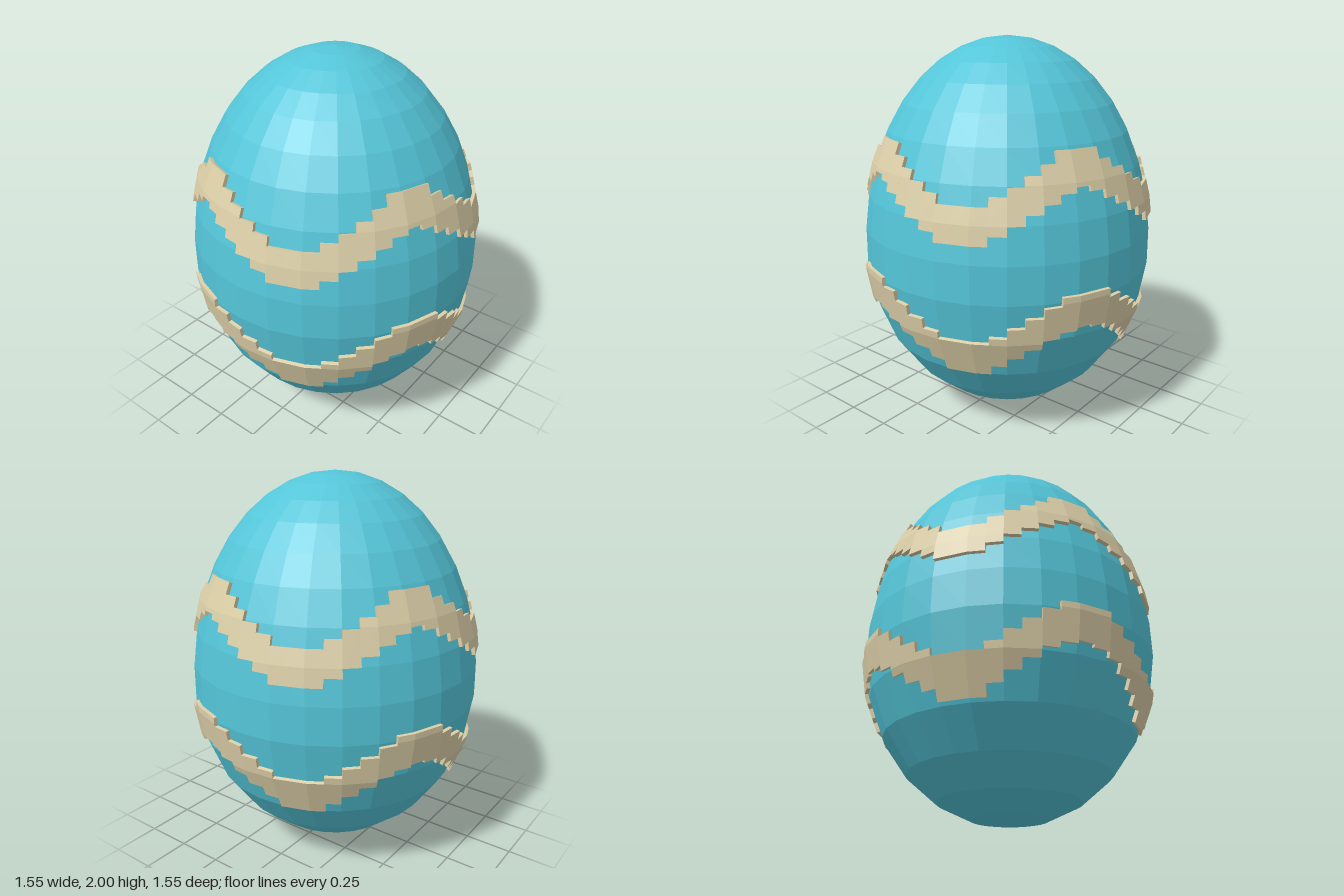
import * as THREE from 'three';

const COLUMNS = 28, CELLS = 56, WAVE = 14; // two band cells per shell column, four waves
const WIDEST = 0.9, RADIUS = 0.77;
const RINGS = [0, 0.03, 0.11, 0.24, 0.42, 0.63, 0.83, 1.02, 1.2, 1.37, 1.53, 1.67, 1.79, 1.88, 1.946, 1.986, 2];

// Half height of the egg on the side of the widest ring that y lies on
const halfHeight = (y) => (y < WIDEST ? WIDEST : 2 - WIDEST);
const ringRadius = (y) => RADIUS * Math.sqrt(Math.max(0, 1 - ((y - WIDEST) / halfHeight(y)) ** 2));

// Radius of the faceted profile at any height
function profileRadius(y) {
  const i = RINGS.findIndex((v, k) => k > 0 && y <= v);
  const a = RINGS[i - 1], b = RINGS[i];
  return THREE.MathUtils.lerp(ringRadius(a), ringRadius(b), (y - a) / (b - a));
}

// Point above the shell at a cell edge, pushed out along the profile normal
function shellPoint(edge, y, offset) {
  const r = profileRadius(y);
  const n = new THREE.Vector2(r / RADIUS ** 2, (y - WIDEST) / halfHeight(y) ** 2).normalize();
  const flat = edge % 2 ? Math.cos(Math.PI / COLUMNS) : 1; // odd edges lie mid-facet
  const radius = (r + n.x * offset) * flat;
  const angle = (edge / CELLS) * Math.PI * 2;
  return new THREE.Vector3(Math.sin(angle) * radius, y + n.y * offset, Math.cos(angle) * radius);
}

// Stepped zigzag band: one raised block per cell, following the shell facets
function makeBand(name, tops, bottoms, material) {
  const positions = [];
  const quad = (a, b, c, d) => [a, b, c, a, c, d].forEach((p) => positions.push(p.x, p.y, p.z));
  for (let i = 0; i < CELLS; i++) {
    const phase = (i + 4) % WAVE; // a crest sits in the fourth cell before the front
    const step = Math.min(phase, WAVE - phase);
    const y0 = bottoms[step], y1 = tops[step];
    const ys = [y0, ...RINGS.filter((y) => y > y0 + 0.002 && y < y1 - 0.002), y1];
    const [li, lo, ri, ro] = [[i, -0.004], [i, 0.019], [i + 1, -0.004], [i + 1, 0.019]]
      .map(([edge, offset]) => ys.map((y) => shellPoint(edge, y, offset)));
    const n = ys.length - 1;
    for (let k = 0; k < n; k++) {
      quad(lo[k], ro[k], ro[k + 1], lo[k + 1]); // outer face
      quad(li[k], lo[k], lo[k + 1], li[k + 1]); // side walls
      quad(ro[k], ri[k], ri[k + 1], ro[k + 1]);
    }
    quad(lo[n], ro[n], ri[n], li[n]); // top ledge
    quad(li[0], ri[0], ro[0], lo[0]); // bottom ledge
  }
  const geometry = new THREE.BufferGeometry();
  geometry.setAttribute('position', new THREE.Float32BufferAttribute(positions, 3));
  geometry.computeVertexNormals();
  const mesh = new THREE.Mesh(geometry, material);
  mesh.name = name;
  return mesh;
}

export function createModel() {
  const group = new THREE.Group();
  group.name = 'decoratedEgg';

  const teal = new THREE.MeshStandardMaterial({ color: 0x54c5d8 });
  teal.name = 'teal';
  const cream = new THREE.MeshStandardMaterial({ color: 0xdccfa8 });
  cream.name = 'cream';

  // Egg shell with flat facets
  const profile = RINGS.map((y) => new THREE.Vector2(ringRadius(y), y));
  const shellGeometry = new THREE.LatheGeometry(profile, COLUMNS).toNonIndexed();
  shellGeometry.computeVertexNormals();
  const shell = new THREE.Mesh(shellGeometry, teal);
  shell.name = 'eggShell';

  // Edge heights run from crest to trough
  group.add(
    shell,
    makeBand('upperBand',
      [1.51, 1.51, 1.455, 1.41, 1.365, 1.325, 1.28, 1.28],
      [1.35, 1.325, 1.285, 1.245, 1.2, 1.155, 1.11, 1.11], cream),
    makeBand('lowerBand',
      [0.86, 0.86, 0.815, 0.765, 0.715, 0.665, 0.63, 0.63],
      [0.69, 0.675, 0.645, 0.595, 0.545, 0.495, 0.44, 0.44], cream),
  );
  return group;
}
